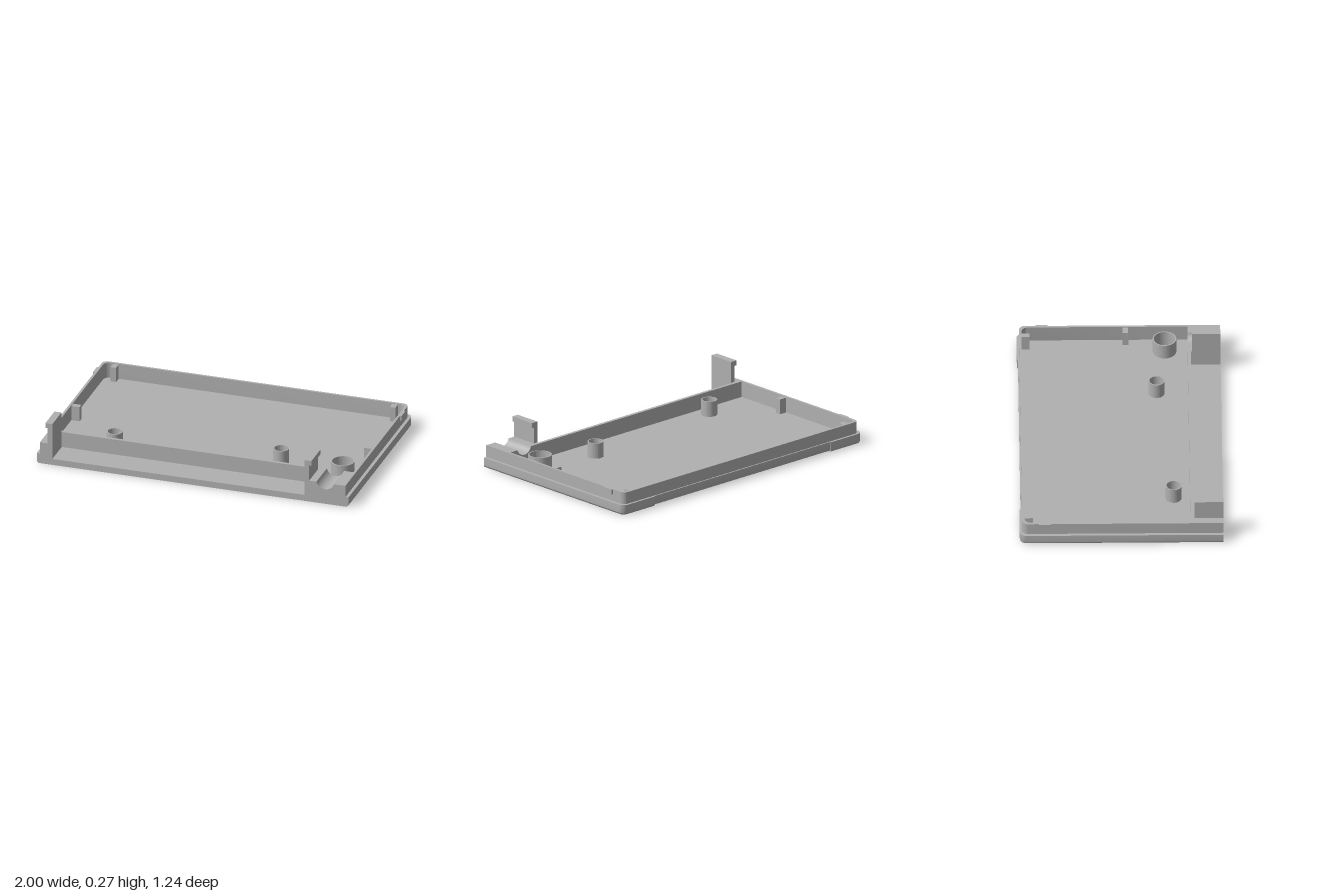
import * as THREE from 'three';
import { toCreasedNormals } from 'three/addons/utils/BufferGeometryUtils.js';

const FRONT = 0.62, EDGE = 0.018, STEP = 0.007, PANEL_X = 0.735;
const FLOOR = 0.04, LEDGE = 0.065, RIM = 0.14;
const TRAY_L = -0.9, TRAY_R = 0.717;

// Points [x, z] around the back, from right to left, with rounded corners
function backCurve(halfX, backZ, radius, middle = []) {
  const right = [];
  for (let j = 0; j <= 8; j++) {
    const t = (j / 8) * Math.PI / 2;
    right.push([halfX - radius + radius * Math.cos(t), backZ + radius - radius * Math.sin(t)]);
  }
  right.push(...middle);
  return [...right, ...right.map(([x, z]) => [-x, z]).reverse()];
}

const toShape = pts => new THREE.Shape(pts.map(([x, z]) => new THREE.Vector2(x, -z)));

function circleHole(x, z, r) {
  return new THREE.Path().absarc(x, -z, r, 0, Math.PI * 2, true);
}

// Plan outline raised from y0 to y1
function slab(shape, y0, y1, hole) {
  if (hole) shape.holes.push(hole);
  const geo = new THREE.ExtrudeGeometry(shape, { depth: y1 - y0, bevelEnabled: false, curveSegments: 32 });
  geo.rotateX(-Math.PI / 2).translate(0, y0, 0);
  return toCreasedNormals(geo, 0.6);
}

function box(x0, x1, y0, y1, z0, z1) {
  return new THREE.BoxGeometry(x1 - x0, y1 - y0, z1 - z0)
    .translate((x0 + x1) / 2, (y0 + y1) / 2, (z0 + z1) / 2);
}

// One cross-section of the outer shell; the middle of the back is stepped in
function shellRing(a, yTop) {
  const d = EDGE * (1 - Math.sin(a));
  const y = yTop ?? EDGE * (1 - Math.cos(a));
  const dm = EDGE - (EDGE - STEP) * Math.sin(a);
  const ym = yTop ?? EDGE - (EDGE - STEP) * Math.cos(a);
  const pts = backCurve(1 - d, -0.62 + d, 0.04 - d).map(([x, z]) => [x, y, z]);
  const half = pts.length / 2;
  pts.splice(half, 0,
    [PANEL_X, y, -0.62 + d], [PANEL_X, ym, -0.62 + dm],
    [-PANEL_X, ym, -0.62 + dm], [-PANEL_X, y, -0.62 + d]);
  return [[1 - d, y, FRONT], ...pts, [-1 + d, y, FRONT]];
}

function shellGeometry() {
  const rings = [];
  for (let i = 0; i <= 6; i++) rings.push(shellRing((i / 6) * Math.PI / 2));
  rings.push(shellRing(Math.PI / 2, LEDGE));
  const pos = [];
  for (let i = 0; i < rings.length - 1; i++) {
    const lo = rings[i], hi = rings[i + 1];
    for (let k = 0; k < lo.length - 1; k++) {
      pos.push(...lo[k], ...lo[k + 1], ...hi[k + 1], ...lo[k], ...hi[k + 1], ...hi[k]);
    }
  }
  const geo = new THREE.BufferGeometry();
  geo.setAttribute('position', new THREE.Float32BufferAttribute(pos, 3));
  geo.computeVertexNormals();
  return toCreasedNormals(geo, 0.6);
}

export function createModel() {
  const model = new THREE.Group();
  model.name = 'caseHalf';
  const grey = new THREE.MeshStandardMaterial({ color: 0xb0b0b0 });
  grey.name = 'grey plastic';
  const add = (name, geo) => {
    const mesh = new THREE.Mesh(geo, grey);
    mesh.name = name;
    model.add(mesh);
  };

  const boss = { x: 0.85, z: 0.28, inner: 0.065, outer: 0.072 };
  const bossHole = () => circleHole(boss.x, boss.z, boss.inner);

  // Outer shell with rounded lower edge
  add('outerShell', shellGeometry());

  // Underside with a shallow sunken panel open to the back
  const under = backCurve(1 - EDGE, -0.62 + EDGE, 0.04 - EDGE,
    [[PANEL_X, -0.62 + EDGE], [PANEL_X, 0.27]]);
  add('underside', slab(toShape([[1 - EDGE, FRONT], ...under, [-1 + EDGE, FRONT]]), 0, STEP, bossHole()));

  // Floor
  const floor = backCurve(0.98, -0.602, 0.022);
  add('floor', slab(toShape([[0.98, FRONT], ...floor, [-0.98, FRONT]]), STEP, FLOOR, bossHole()));

  // Front face, lower in front of the tray
  const face = new THREE.Shape();
  face.moveTo(-1 + EDGE, 0);
  face.lineTo(1 - EDGE, 0);
  face.absarc(1 - EDGE, EDGE, EDGE, -Math.PI / 2, 0, false);
  face.lineTo(1, LEDGE);
  face.lineTo(TRAY_R, LEDGE);
  face.lineTo(TRAY_R, FLOOR);
  face.lineTo(TRAY_L, FLOOR);
  face.lineTo(TRAY_L, LEDGE);
  face.lineTo(-1, LEDGE);
  face.absarc(-1 + EDGE, EDGE, EDGE, Math.PI, Math.PI * 1.5, false);
  add('frontFace', new THREE.ShapeGeometry(face).translate(0, 0, FRONT));

  // Ledge around the lip
  const lipOuter = backCurve(0.98, -0.605, 0.035);
  const shellTop = shellRing(Math.PI / 2, LEDGE).map(p => [p[0], p[2]]);
  const ledge = toShape([...shellTop, [-0.98, FRONT], ...[...lipOuter].reverse(), [0.98, FRONT]]);
  add('ledge', new THREE.ShapeGeometry(ledge).rotateX(-Math.PI / 2).translate(0, LEDGE, 0));

  // Lip, partition and left front block in one wall
  const lipInner = backCurve(0.965, -0.59, 0.04).reverse();
  add('wall', slab(toShape([
    [0.98, 0.42], ...lipOuter, [-0.98, FRONT], [TRAY_L, FRONT], [TRAY_L, 0.44],
    [TRAY_R, 0.44], [TRAY_R, 0.42], [-0.965, 0.42], ...lipInner, [0.965, 0.42],
  ]), FLOOR, RIM));

  // Right front block with a round cable groove
  const grooveR = 0.0583, grooveY = 0.156;
  const a = Math.asin((grooveY - RIM) / grooveR);
  const block = new THREE.Shape();
  block.moveTo(TRAY_R, FLOOR);
  block.lineTo(0.98, FLOOR);
  block.lineTo(0.98, RIM);
  block.absarc(0.85, grooveY, grooveR, -a, Math.PI + a, true);
  block.lineTo(TRAY_R, RIM);
  block.closePath();
  const blockGeo = new THREE.ExtrudeGeometry(block, { depth: FRONT - 0.42, bevelEnabled: false, curveSegments: 20 });
  add('groovedBlock', toCreasedNormals(blockGeo.translate(0, 0, 0.42), 0.5));

  // Hooked clips beside the tray
  for (const [name, root, dir] of [['leftClip', TRAY_R, 1], ['rightClip', TRAY_L, -1]]) {
    const hook = new THREE.Shape([
      [0, RIM - 0.02], [0.03, RIM - 0.02], [0.03, 0.242], [0.045, 0.242], [0.045, 0.274], [0, 0.274],
    ].map(([x, y]) => new THREE.Vector2(root + dir * x, y)));
    add(name, new THREE.ExtrudeGeometry(hook, { depth: FRONT - 0.445, bevelEnabled: false }).translate(0, 0, 0.445));
  }

  // Hollow posts and the through-hole boss
  const tube = (name, x, z, outer, inner) => {
    const ring = new THREE.Shape().absarc(x, -z, outer, 0, Math.PI * 2, false);
    add(name, slab(ring, FLOOR, 0.137, circleHole(x, z, inner)));
  };
  tube('holeBoss', boss.x, boss.z, boss.outer, boss.inner);
  tube('rightPost', -0.6, 0.32, 0.049, 0.042);
  tube('leftPost', 0.437, 0.227, 0.049, 0.042);

  // Inner ribs and outer snap bumps on both sides
  for (const s of [1, -1]) {
    const span = (p, q) => (s > 0 ? [p, q] : [-q, -p]);
    add('backRib', box(...span(0.878, 0.914), FLOOR, 0.135, -0.595, -0.54));
    add('sideRib', box(...span(0.912, 0.97), FLOOR, 0.135, 0.025, 0.06));
    add('snapBump', box(...span(0.975, 0.99), 0.108, RIM, -0.505, -0.43));
  }
  return model;
}
